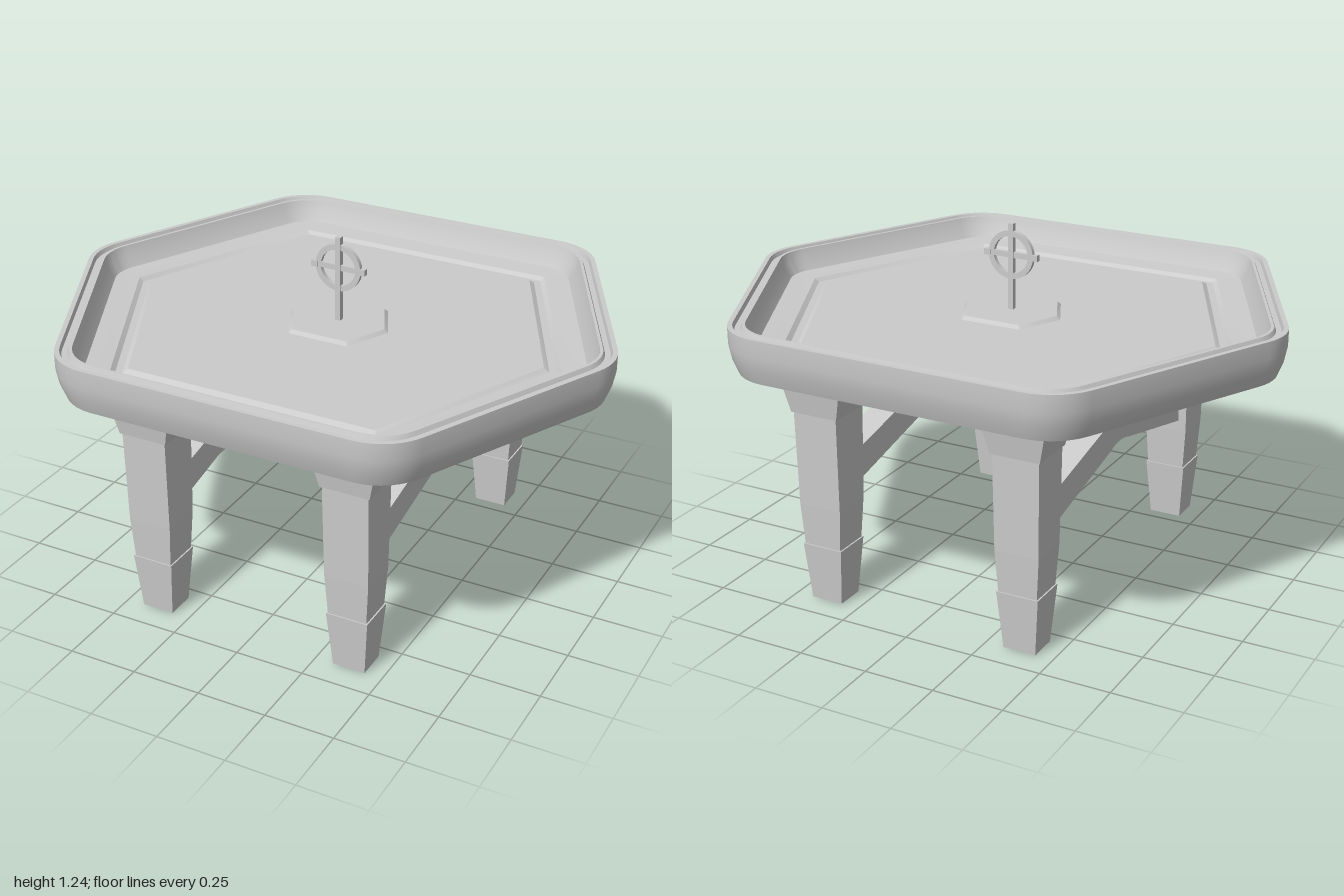
import * as THREE from 'three';
import { toCreasedNormals } from 'three/addons/utils/BufferGeometryUtils.js';

const material = new THREE.MeshStandardMaterial({ color: 0xcccccc });

function mesh(name, geometry, parent) {
  const m = new THREE.Mesh(geometry, material);
  m.name = name;
  parent.add(m);
  return m;
}

function box(name, w, h, d, x, y, z, parent) {
  const m = mesh(name, new THREE.BoxGeometry(w, h, d), parent);
  m.position.set(x, y, z);
  return m;
}

// Hexagon with rounded corners, scaled by s, corner radius r.
const CORNERS = [[1.022, 0], [0.61, 0.853], [-0.61, 0.853], [-1.022, 0], [-0.61, -0.853], [0.61, -0.853]];
const NORMALS = [-25.8, 25.8, 90, 154.2, 205.8, 270, 334.2].map(THREE.MathUtils.degToRad);
const STEPS = 7;

function hexRing(s, r) {
  const points = [];
  CORNERS.forEach(([cx, cz], k) => {
    const from = NORMALS[k], to = NORMALS[k + 1], mid = (from + to) / 2;
    const back = r / Math.cos((to - from) / 2);
    const ox = cx * s - Math.cos(mid) * back, oz = cz * s - Math.sin(mid) * back;
    for (let i = 0; i <= STEPS; i++) {
      const t = from + (to - from) * i / STEPS;
      points.push([ox + Math.cos(t) * r, oz + Math.sin(t) * r]);
    }
  });
  return points;
}

// Closed skin through hexagon rings given as [scale, y, cornerRadius].
function hexLoft(profile) {
  const positions = [], index = [], n = 6 * (STEPS + 1);
  profile.forEach(([s, y, r], row) => {
    for (const [x, z] of hexRing(s, r)) positions.push(x, y, z);
    if (row === 0) return;
    for (let j = 0; j < n; j++) {
      const a = (row - 1) * n + j, b = (row - 1) * n + (j + 1) % n;
      index.push(a, a + n, b, b, a + n, b + n);
    }
  });
  const g = new THREE.BufferGeometry();
  g.setAttribute('position', new THREE.Float32BufferAttribute(positions, 3));
  g.setIndex(index);
  return toCreasedNormals(g, 0.35);
}

// Box with different half sizes at its bottom and top.
function taper(y0, hx0, hz0, y1, hx1, hz1) {
  const g = new THREE.BoxGeometry(2, 2, 2), p = g.attributes.position;
  for (let i = 0; i < p.count; i++) {
    const top = p.getY(i) > 0;
    p.setXYZ(i, p.getX(i) * (top ? hx1 : hx0), top ? y1 : y0, p.getZ(i) * (top ? hz1 : hz0));
  }
  const flat = g.toNonIndexed();
  flat.computeVertexNormals();
  return flat;
}

function createLeg(sx, sz) {
  const leg = new THREE.Group();
  leg.name = 'leg';
  mesh('legFoot', taper(0, 0.059, 0.053, 0.21, 0.076, 0.071), leg);
  mesh('legLowerShaft', taper(0.2, 0.07, 0.066, 0.36, 0.08, 0.074), leg);
  mesh('legUpperShaft', taper(0.36, 0.08, 0.074, 0.71, 0.083, 0.082), leg);
  mesh('legCap', taper(0.7, 0.089, 0.088, 0.83, 0.119, 0.108), leg);
  leg.position.set(sx * 0.376, 0, sz * 0.601);
  return leg;
}

// Arched stretcher joining the front and back leg of one side.
function createStretcher(side) {
  const s = new THREE.Shape();
  s.moveTo(-0.56, 0.393);
  s.lineTo(-0.07, 0.505);
  s.quadraticCurveTo(0, 0.53, 0.07, 0.505);
  s.lineTo(0.56, 0.393);
  s.lineTo(0.56, 0.511);
  s.lineTo(0.07, 0.615);
  s.quadraticCurveTo(0, 0.635, -0.07, 0.615);
  s.lineTo(-0.56, 0.511);
  const g = new THREE.ExtrudeGeometry(s, { depth: 0.1, bevelEnabled: false, curveSegments: 6 });
  g.translate(0, 0, -0.05);
  g.rotateY(Math.PI / 2);
  g.translate(side * 0.376, 0, 0);
  return g;
}

export function createModel() {
  const model = new THREE.Group();
  model.name = 'basinTable';

  // Basin: underside, outer wall, grooved rim, inner wall, floor groove, raised centre
  mesh('basin', hexLoft([
    [0.002, 0.79, 0.0002],
    [0.6, 0.79, 0.12],
    [0.97, 0.84, 0.19],
    [0.99, 0.89, 0.198],
    [1, 0.94, 0.2],
    [1, 1, 0.2],
    [0.982, 1, 0.19],
    [0.976, 0.985, 0.188],
    [0.956, 0.985, 0.175],
    [0.949, 1, 0.17],
    [0.938, 1, 0.165],
    [0.925, 0.965, 0.15],
    [0.9, 0.925, 0.13],
    [0.806, 0.92, 0.004],
    [0.79, 0.908, 0.004],
    [0.764, 0.908, 0.004],
    [0.745, 0.92, 0.004],
    [0.185, 0.92, 0.002],
    [0.172, 0.932, 0.002],
    [0.002, 0.932, 0.0002],
  ]), model);

  // Legs, stretchers and crossbar
  for (const sx of [-1, 1]) {
    for (const sz of [-1, 1]) model.add(createLeg(sx, sz));
    mesh('sideStretcher', createStretcher(sx), model);
  }
  box('crossbar', 0.74, 0.11, 0.14, 0, 0.567, 0, model);

  // Ringed cross standing in the middle of the basin
  const finial = new THREE.Group();
  finial.name = 'finial';
  model.add(finial);
  box('post', 0.02, 0.31, 0.02, 0, 1.085, 0, finial);
  box('arm', 0.2, 0.02, 0.014, 0, 1.128, 0, finial);
  for (const s of [-1, 1]) box('armEnd', 0.024, 0.022, 0.02, s * 0.091, 1.128, 0, finial);
  const disc = new THREE.Shape().absarc(0, 0, 0.086, 0, Math.PI * 2);
  disc.holes.push(new THREE.Path().absarc(0, 0, 0.066, 0, Math.PI * 2, true));
  const ring = new THREE.ExtrudeGeometry(disc, { depth: 0.016, bevelEnabled: false, curveSegments: 16 });
  ring.translate(0, 1.128, -0.008);
  mesh('ring', toCreasedNormals(ring, 0.6), finial);

  return model;
}
